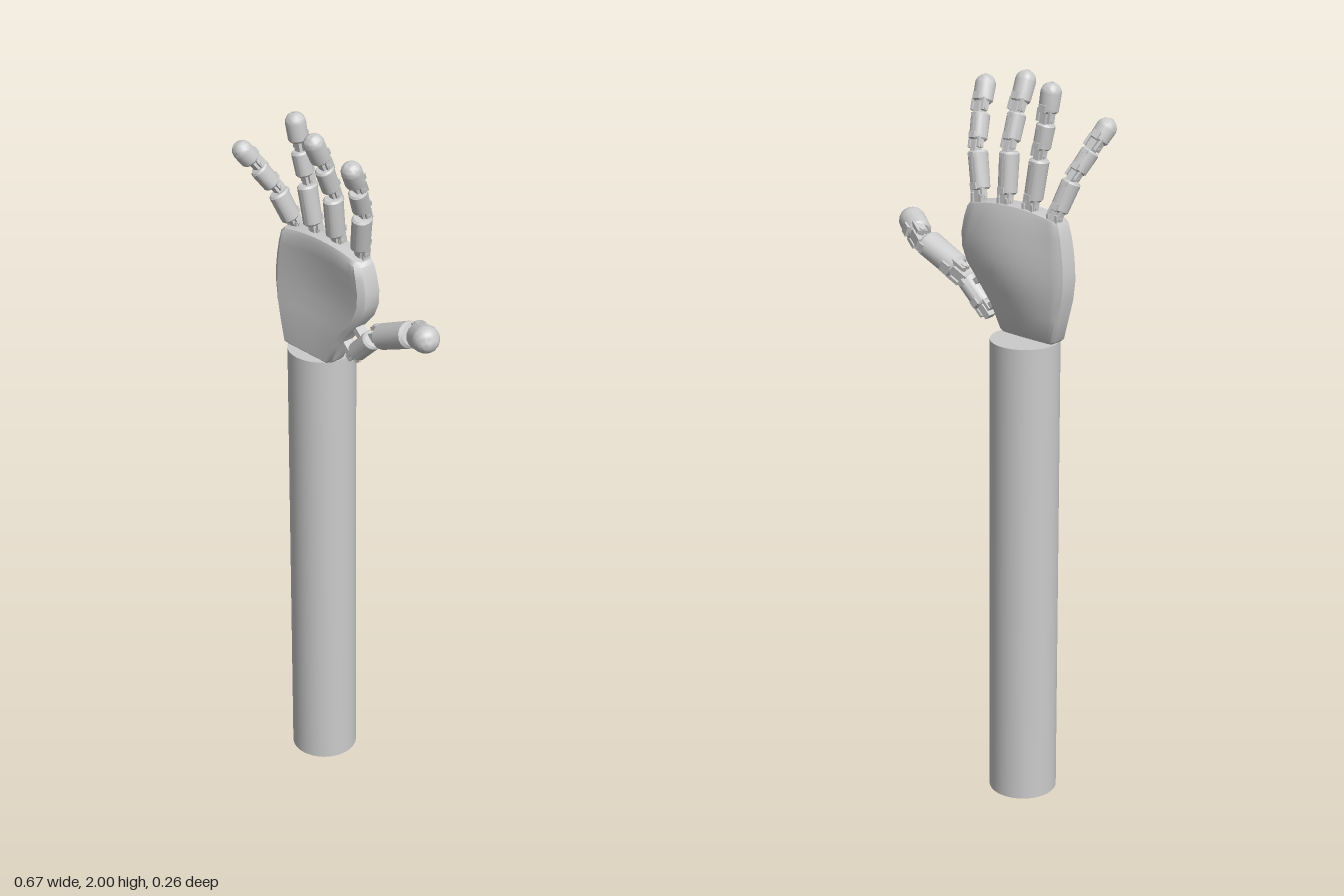
import * as THREE from 'three';
import { toCreasedNormals } from 'three/addons/utils/BufferGeometryUtils.js';

const material = new THREE.MeshStandardMaterial({ color: 0xcccccc });
const V = (x, y, z) => new THREE.Vector3(x, y, z);

function add(parent, name, geometry, x = 0, y = 0, z = 0) {
  const mesh = new THREE.Mesh(geometry, material);
  mesh.name = name;
  mesh.position.set(x, y, z);
  parent.add(mesh);
  return mesh;
}

// Palm: closed cross-sections stacked upwards, bulged at the back, hollow at the front
function palmGeometry() {
  // each row: y, left edge x, right edge x, front z, back edge z, back bulge, front hollow
  const rows = [
    [1.32, -0.24, -0.068, 0.018, -0.032, 0.002, 0],
    [1.327, -0.247, -0.062, 0.025, -0.036, 0.003, 0],
    [1.39, -0.263, -0.033, 0.026, -0.04, 0.014, 0.004],
    [1.44, -0.276, 0.005, 0.026, -0.043, 0.024, 0.011],
    [1.49, -0.283, 0.047, 0.025, -0.045, 0.03, 0.016],
    [1.53, -0.282, 0.064, 0.025, -0.045, 0.031, 0.017],
    [1.57, -0.278, 0.066, 0.024, -0.045, 0.026, 0.015],
    [1.61, -0.271, 0.058, 0.023, -0.044, 0.016, 0.01],
    [1.642, -0.264, 0.047, 0.02, -0.043, 0.006, 0.004],
    [1.652, -0.258, 0.04, 0.012, -0.041, 0.001, 0],
  ];
  const n = 20, ring = 2 * (n + 1);
  const pos = [], index = [];
  rows.forEach(([y, l, r, zf, zb, bulge, hollow], i) => {
    const lift = 0.018 * Math.max(0, (i - 5) / 4);
    for (let j = 0; j < ring; j++) {
      const front = j <= n;
      const k = front ? j : ring - 1 - j;
      const t = -Math.cos((k / n) * Math.PI);
      const hump = (1 - t * t) ** 1.3;
      const edge = 0.014 * Math.max(0, (Math.abs(t) - 0.9) / 0.1);
      const z = front ? zf - hollow * hump - edge : zb - bulge * hump + edge * 0.4;
      pos.push((l + r) / 2 + ((r - l) / 2) * t, y + lift * (1 - t * t), z);
    }
  });
  for (let i = 0; i < rows.length - 1; i++) {
    for (let j = 0; j < ring; j++) {
      const a = i * ring + j, b = i * ring + ((j + 1) % ring);
      index.push(a, b, b + ring, a, b + ring, a + ring);
    }
  }
  // end caps, strips between front and back edges
  const top = (rows.length - 1) * ring;
  for (let j = 0; j < n; j++) {
    const q = ring - 1 - j;
    index.push(top + j, top + j + 1, top + q - 1, top + j, top + q - 1, top + q);
    index.push(j, q - 1, j + 1, j, q, q - 1);
  }
  const g = new THREE.BufferGeometry();
  g.setAttribute('position', new THREE.Float32BufferAttribute(pos, 3));
  g.setIndex(index);
  return toCreasedNormals(g, 0.6);
}

// Shell of one finger bone: chamfered tube, domed at the fingertip
function shellGeometry(r, y0, y1, depth, tip) {
  const c = r * 0.22;
  const points = [[0, y0], [r * 0.78, y0], [r * 0.96, y0 + c]];
  if (tip) {
    for (let i = 0; i <= 7; i++) {
      const a = (i / 7) * Math.PI / 2;
      points.push([i === 7 ? 0 : r * Math.cos(a), y1 - r * (1 - Math.sin(a))]);
    }
  } else {
    points.push([r, y1 - c], [r * 0.82, y1], [0, y1]);
  }
  const g = new THREE.LatheGeometry(points.map((p) => new THREE.Vector2(...p)), 16);
  g.scale(1, 1, depth);
  return toCreasedNormals(g, 0.5);
}

// One bone from a to b, with a hinge at its lower end
function bone(name, a, b, r, depth, tip, facing) {
  const group = new THREE.Group();
  group.name = name;
  const dir = b.clone().sub(a);
  const length = dir.length();
  dir.normalize();
  const side = dir.clone().cross(facing).normalize();
  group.quaternion.setFromRotationMatrix(
    new THREE.Matrix4().makeBasis(side, dir, side.clone().cross(dir)));
  group.position.copy(a);

  const start = r * 0.62;
  const end = tip ? length : length - r * 0.45;
  add(group, 'shell', shellGeometry(r, start, end, depth, tip));
  // hinge: tongue, two lugs and a pin
  add(group, 'hingeTongue', new THREE.BoxGeometry(r * 0.7, r * 1.7, r * 1.05), 0, r * 0.1, -r * 0.2);
  for (const s of [-1, 1]) {
    add(group, 'hingeLug', new THREE.BoxGeometry(r * 0.28, r * 1.2, r * 0.8), s * r * 0.66, r * 0.35, -r * 0.3);
  }
  const pin = add(group, 'hingePin', new THREE.CylinderGeometry(r * 0.24, r * 0.24, r * 1.75, 12), 0, 0, -r * 0.25);
  pin.rotation.z = Math.PI / 2;
  // cover plates on the back of the bone
  const back = -r * depth * 0.92;
  add(group, 'backPlate', new THREE.BoxGeometry(r * 0.8, r * 0.7, r * 0.3), 0, start + r * 0.45, back);
  if (!tip) add(group, 'backPlate', new THREE.BoxGeometry(r * 0.7, r * 0.5, r * 0.3), 0, end - r * 0.4, back);
  else {
    const stud = add(group, 'tipScrew', new THREE.CylinderGeometry(r * 0.14, r * 0.14, r * 0.1, 10), 0, end - r * 0.01, 0);
    stud.scale.y = 0.6;
  }
  return group;
}

function digit(name, joints, radii, depths, facing) {
  const group = new THREE.Group();
  group.name = name;
  const names = ['lowerBone', 'middleBone', 'tipBone'];
  names.forEach((n, i) => group.add(
    bone(n, joints[i], joints[i + 1], radii[i], depths[i], i === 2, facing)));
  return group;
}

export function createModel() {
  const model = new THREE.Group();
  model.name = 'mechanicalHand';

  add(model, 'forearm', new THREE.CylinderGeometry(0.093, 0.093, 1.32, 48), -0.155, 0.66, -0.037);
  add(model, 'palm', palmGeometry());

  // Fingers, each given by its knuckles and its tip
  const fingers = {
    littleFinger: [V(-0.24, 1.662, -0.018), V(-0.266, 1.765, 0.02), V(-0.291, 1.838, 0.067), V(-0.313, 1.905, 0.113)],
    ringFinger: [V(-0.158, 1.675, -0.015), V(-0.175, 1.812, -0.005), V(-0.188, 1.905, 0.006), V(-0.196, 2, 0.016)],
    middleFinger: [V(-0.072, 1.675, -0.015), V(-0.065, 1.812, 0.003), V(-0.061, 1.905, 0.04), V(-0.058, 1.998, 0.083)],
    indexFinger: [V(0.018, 1.67, -0.015), V(0.047, 1.795, 0.003), V(0.066, 1.884, 0.04), V(0.083, 1.966, 0.082)],
  };
  for (const [name, joints] of Object.entries(fingers)) {
    model.add(digit(name, joints, [0.025, 0.024, 0.0275], [1.15, 1.1, 1], V(0, 0, 1)));
    // knuckle bracket on the palm's top edge
    const base = joints[0];
    for (const s of [-1, 1]) {
      add(model, 'knuckleBracket', new THREE.BoxGeometry(0.007, 0.035, 0.026), base.x + s * 0.014, base.y - 0.008, -0.024);
    }
  }

  // Thumb and the bracket that joins it to the palm
  model.add(digit('thumb',
    [V(-0.006, 1.362, -0.015), V(0.078, 1.446, -0.018), V(0.228, 1.513, -0.016), V(0.33, 1.552, 0.036)],
    [0.028, 0.036, 0.037], [1.15, 1.12, 1], V(0, 0, 1)));
  for (const [x, y] of [[-0.022, 1.378], [0.028, 1.436]]) {
    const bracket = add(model, 'thumbBracket', new THREE.BoxGeometry(0.045, 0.016, 0.03), x, y, -0.015);
    bracket.rotation.z = -0.75;
  }
  return model;
}
